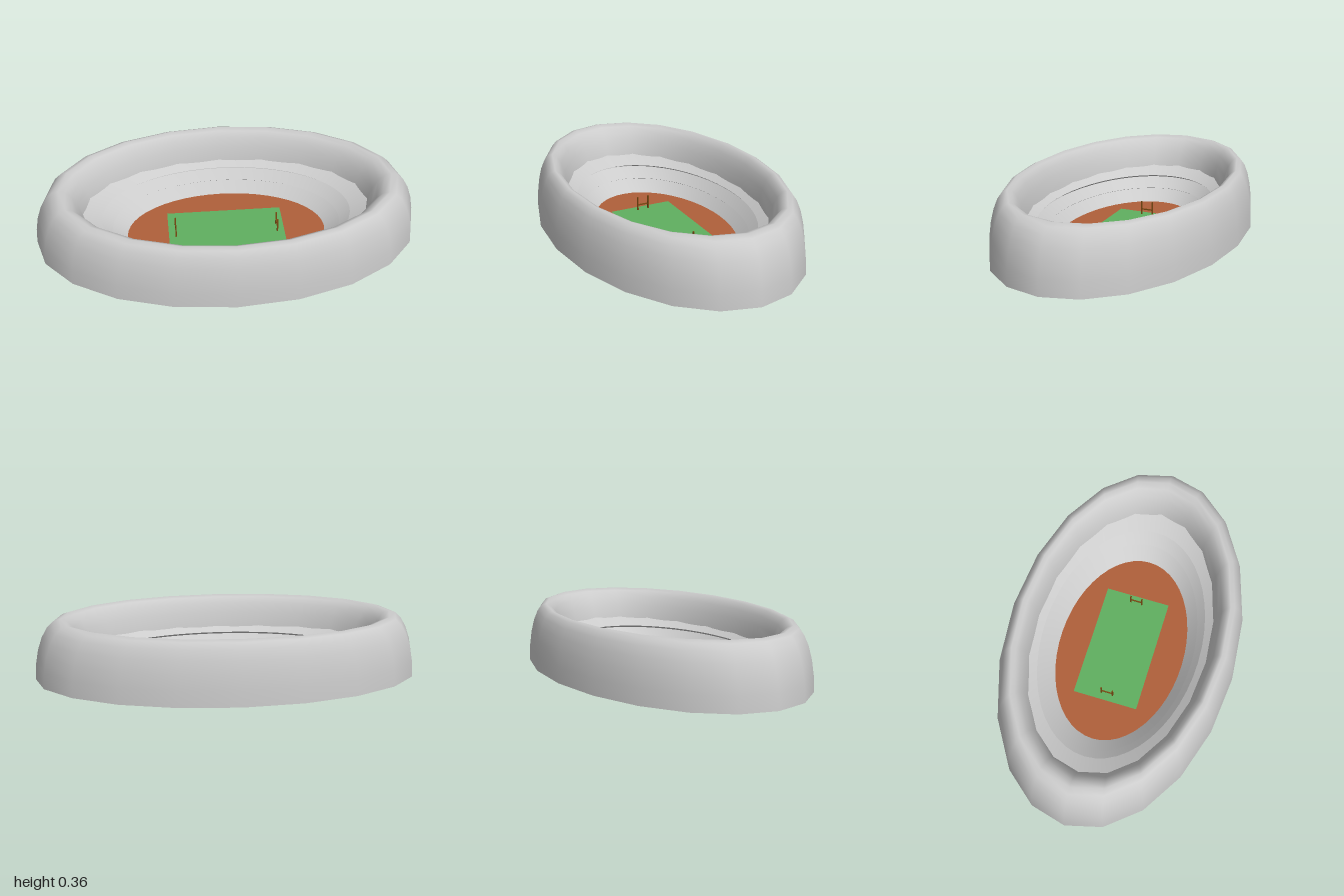
import * as THREE from 'three';
import { toCreasedNormals } from 'three/addons/utils/BufferGeometryUtils.js';

const material = (color) => new THREE.MeshStandardMaterial({ color, side: THREE.DoubleSide });
const GREY = material(0xcccccc);
const CLAY = material(0xb0603a);
const GRASS = material(0x60b060);
const POST = material(0x7a4a12);

const GROUND_Y = 0.045;

// Elliptical ring: a lathed (radius, height) profile squeezed along z
function ellipseRing(name, profile, sides, squeeze, creased) {
  const points = profile.map(([r, y]) => new THREE.Vector2(r, y));
  let geometry = new THREE.LatheGeometry(points, sides);
  geometry.scale(1, 1, squeeze);
  if (creased) geometry = toCreasedNormals(geometry, 0.6);
  const mesh = new THREE.Mesh(geometry, GREY);
  mesh.name = name;
  return mesh;
}

function flatPanel(name, width, depth, y, mat) {
  const geometry = new THREE.PlaneGeometry(width, depth).rotateX(-Math.PI / 2);
  const mesh = new THREE.Mesh(geometry, mat);
  mesh.name = name;
  mesh.position.y = y;
  return mesh;
}

// H-shaped goal: two uprights and a crossbar
function makeGoal(name, x) {
  const goal = new THREE.Group();
  goal.name = name;
  const upright = new THREE.BoxGeometry(0.007, 0.075, 0.007);
  for (const z of [-0.031, 0.031]) {
    const post = new THREE.Mesh(upright, POST);
    post.name = 'goalPost';
    post.position.set(0, 0.0375, z);
    goal.add(post);
  }
  const bar = new THREE.Mesh(new THREE.BoxGeometry(0.006, 0.006, 0.062), POST);
  bar.name = 'crossbar';
  bar.position.y = 0.03;
  goal.add(bar);
  goal.position.set(x, GROUND_Y + 0.003, 0);
  return goal;
}

export function createModel() {
  const stadium = new THREE.Group();
  stadium.name = 'stadium';

  // Outer shell: hollow half-tube arching over the stands
  const arch = [];
  const steps = 12;
  for (let i = 0; i <= steps; i++) {
    const t = (i / steps) * Math.PI;
    arch.push([0.865 + 0.135 * Math.cos(t), GROUND_Y + 0.315 * Math.sin(t)]);
  }
  stadium.add(ellipseRing('outerShell', arch, 20, 0.613, false));

  // Seating tiers: wedge-section rings, [inner radius, inner y, outer radius, bottom y, top y]
  const tiers = [
    ['lowerStand', 0.525, 0.045, 0.615, 0, 0.112],
    ['middleStand', 0.6, 0.105, 0.67, 0.06, 0.155],
    ['upperStand', 0.655, 0.165, 0.765, 0.12, 0.212],
  ];
  for (const [name, r0, y0, r1, low, high] of tiers) {
    const wedge = [[r0, y0], [r1, low], [r1, high], [r0, y0]];
    stadium.add(ellipseRing(name, wedge, 48, 0.638, true));
  }

  // Clay ground and pitch
  stadium.add(flatPanel('ground', 1.416, 0.784, GROUND_Y, CLAY));
  stadium.add(flatPanel('pitch', 0.615, 0.345, GROUND_Y + 0.004, GRASS));

  stadium.add(makeGoal('leftGoal', 0.27), makeGoal('rightGoal', -0.27));
  return stadium;
}
